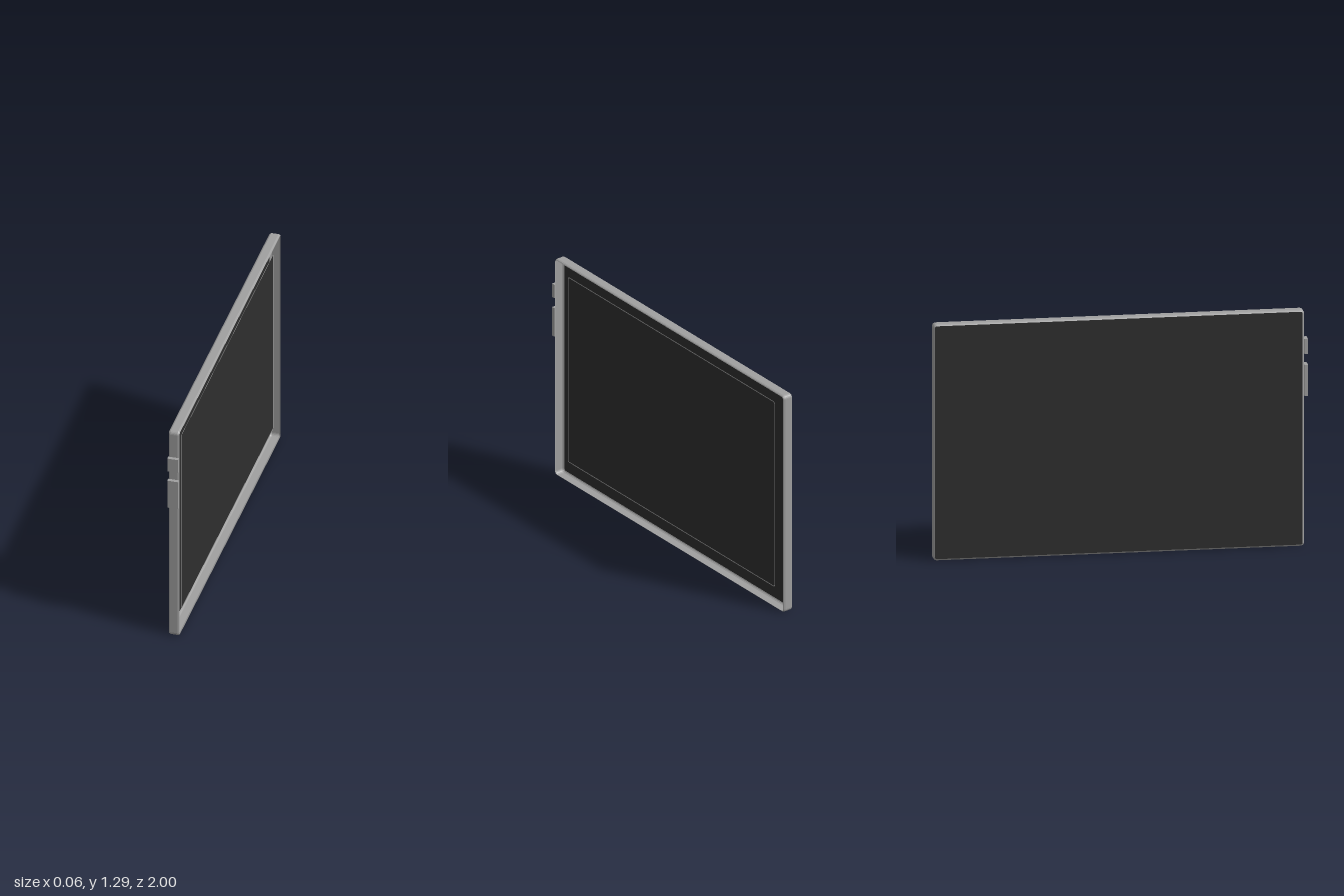
import * as THREE from 'three';

const BACK_X = -0.03, FRONT_X = 0.03;
const Z0 = -1, Z1 = 0.98, HEIGHT = 1.29;
const CORNER_STEPS = 6;

// Corner-rounded rectangle as a fixed number of points; 2D x is -z of the model
function roundedPoints(z0, z1, y0, y1, r) {
  const a = -z1, b = -z0, points = [];
  const centres = [[b - r, y0 + r], [b - r, y1 - r], [a + r, y1 - r], [a + r, y0 + r]];
  centres.forEach(([cx, cy], corner) => {
    for (let i = 0; i < CORNER_STEPS; i++) {
      const angle = (corner - 1 + i / (CORNER_STEPS - 1)) * Math.PI / 2;
      points.push(new THREE.Vector2(cx + r * Math.cos(angle), cy + r * Math.sin(angle)));
    }
  });
  return points;
}

function caseOutline(inset) {
  return roundedPoints(Z0 + inset, Z1 - inset, inset, HEIGHT - inset, 0.02 - inset);
}

// Thin wall joining case outlines; each step is [x, inset]
function rimGeometry(steps) {
  const n = CORNER_STEPS * 4, positions = [], index = [];
  steps.forEach(([x, inset], row) => {
    caseOutline(inset).forEach(p => positions.push(x, p.y, -p.x));
    if (row === 0) return;
    for (let i = 0; i < n; i++) {
      const j = (i + 1) % n, a = (row - 1) * n, b = row * n;
      index.push(a + i, a + j, b + j, a + i, b + j, b + i);
    }
  });
  const indexed = new THREE.BufferGeometry();
  indexed.setAttribute('position', new THREE.Float32BufferAttribute(positions, 3));
  indexed.setIndex(index);
  const geometry = indexed.toNonIndexed();
  geometry.computeVertexNormals();
  return geometry;
}

export function createModel() {
  const model = new THREE.Group();
  model.name = 'tablet';
  const metal = new THREE.MeshStandardMaterial({ color: 0xa0a0a0, side: THREE.DoubleSide });
  metal.name = 'grey metal';
  const dark = new THREE.MeshStandardMaterial({ color: 0x2e2e2e, side: THREE.DoubleSide });
  dark.name = 'dark glass';

  const add = (name, geometry, material) => {
    const mesh = new THREE.Mesh(geometry, material);
    mesh.name = name;
    model.add(mesh);
    return mesh;
  };
  // Flat plate facing +x
  const plate = (name, shape, x, material) => {
    const mesh = add(name, new THREE.ShapeGeometry(shape), material);
    mesh.rotation.y = Math.PI / 2;
    mesh.position.x = x;
  };

  // Thin case wall with softened edges, open at the front
  add('caseRim', rimGeometry([
    [BACK_X, 0.009], [BACK_X + 0.003, 0.004], [BACK_X + 0.01, 0],
    [FRONT_X - 0.01, 0], [FRONT_X - 0.003, 0.003], [FRONT_X, 0.007],
  ]), metal);

  // Dark back panel, seen from both sides
  plate('backPanel', new THREE.Shape(caseOutline(0.009)), BACK_X, dark);

  // Screen with a hairline border
  const screenOutline = roundedPoints(-0.898, 0.878, 0.115, 1.21, 0.008);
  const border = new THREE.Shape(roundedPoints(-0.903, 0.883, 0.11, 1.215, 0.012));
  border.holes.push(new THREE.Path(screenOutline));
  plate('screenBorder', border, 0.015, metal);
  plate('screen', new THREE.Shape(screenOutline), 0.014, dark);

  // Edge buttons
  for (const [name, y0, y1] of [['powerButton', 1.05, 1.13], ['volumeButton', 0.82, 0.99]]) {
    const button = add(name, new THREE.BoxGeometry(0.06, y1 - y0, 0.02), metal);
    button.position.set(0, (y0 + y1) / 2, 0.99);
  }
  return model;
}
